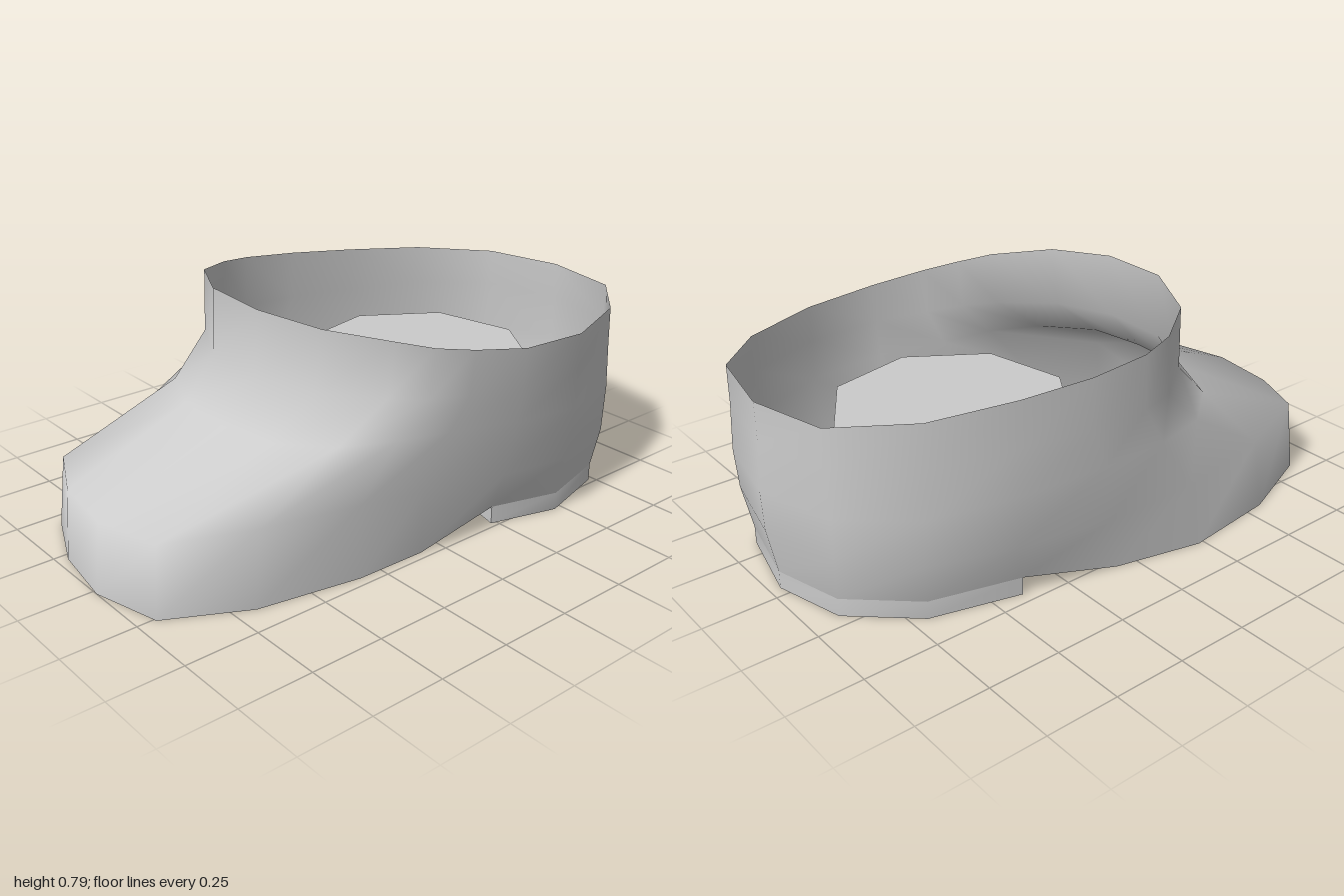
import * as THREE from 'three';

const smooth = new THREE.MeshStandardMaterial({ color: 0xcccccc, side: THREE.DoubleSide });
const flat = new THREE.MeshStandardMaterial({ color: 0xcccccc, side: THREE.DoubleSide, flatShading: true });

// Outlines run from the toe over the model's left (+x) side to the heel and back.
// Ground outline: [x, z]
const GROUND = [
  [0.02, 1.0], [0.26, 0.94], [0.40, 0.68], [0.465, 0.33], [0.47, 0.08], [0.48, -0.23],
  [0.55, -0.47], [0.48, -0.73], [0.32, -0.9], [0.04, -0.965], [-0.2, -0.9], [-0.38, -0.7],
  [-0.46, -0.4], [-0.53, -0.07], [-0.6, 0.23], [-0.56, 0.57], [-0.44, 0.87], [-0.22, 0.965],
];
// Top edge of the toe box: [x, y, z]
const TOE = [
  [0.02, 0.24, 0.975], [0.25, 0.24, 0.92], [0.395, 0.26, 0.66], [0.46, 0.25, 0.33], [0.475, 0.22, 0.08], [0.53, 0.2, -0.23],
  [0.575, 0.2, -0.48], [0.5, 0.2, -0.75], [0.33, 0.22, -0.93], [0.04, 0.22, -0.995], [-0.23, 0.22, -0.92], [-0.4, 0.2, -0.72],
  [-0.49, 0.2, -0.44], [-0.55, 0.2, -0.12], [-0.575, 0.22, 0.2], [-0.54, 0.25, 0.54], [-0.42, 0.25, 0.85], [-0.22, 0.24, 0.945],
];
// Instep, where the foot turns up into the ankle
const INSTEP = [
  [0.02, 0.42, 0.52], [0.22, 0.42, 0.49], [0.38, 0.42, 0.35], [0.46, 0.42, 0.18], [0.5, 0.41, 0.0], [0.57, 0.4, -0.23],
  [0.58, 0.38, -0.5], [0.5, 0.36, -0.76], [0.33, 0.36, -0.94], [0.04, 0.36, -1.0], [-0.23, 0.36, -0.92], [-0.41, 0.36, -0.71],
  [-0.5, 0.38, -0.43], [-0.55, 0.4, -0.15], [-0.56, 0.41, 0.08], [-0.53, 0.42, 0.26], [-0.4, 0.42, 0.42], [-0.2, 0.42, 0.51],
];
// Rim of the opening
const RIM = [
  [0.05, 0.78, 0.395], [0.27, 0.76, 0.32], [0.43, 0.73, 0.17], [0.5, 0.705, 0.07], [0.55, 0.685, -0.05], [0.595, 0.66, -0.23],
  [0.59, 0.645, -0.49], [0.49, 0.645, -0.76], [0.33, 0.65, -0.93], [0.05, 0.65, -0.985], [-0.22, 0.652, -0.92], [-0.4, 0.668, -0.7],
  [-0.49, 0.69, -0.43], [-0.54, 0.71, -0.2], [-0.55, 0.73, 0.0], [-0.52, 0.745, 0.12], [-0.42, 0.77, 0.27], [-0.2, 0.785, 0.385],
];
const STEP = 0.062;                 // rise of the arch in front of the heel
const HEEL_A = 5, HEEL_B = 12;      // heel columns of the outlines
const WELL = { r: 0.4, z: -0.325, top: 0.46, turn: THREE.MathUtils.degToRad(10.6) };

// Surface through stacked rows of points
function skin(name, rows, closed, material) {
  const n = rows[0].length, index = [];
  for (let r = 0; r < rows.length - 1; r++) {
    for (let i = 0; i < (closed ? n : n - 1); i++) {
      const j = (i + 1) % n, a = r * n + i, b = r * n + j;
      index.push(a, b, b + n, a, b + n, a + n);
    }
  }
  const g = new THREE.BufferGeometry();
  g.setAttribute('position', new THREE.Float32BufferAttribute(rows.flat(2), 3));
  g.setIndex(index);
  g.computeVertexNormals();
  const mesh = new THREE.Mesh(g, material);
  mesh.name = name;
  return mesh;
}

// Horizontal or gently tilted polygon, facing down
function plate(name, points) {
  const tris = THREE.ShapeUtils.triangulateShape(points.map(p => new THREE.Vector2(p[0], p[2])), []);
  const g = new THREE.BufferGeometry();
  g.setAttribute('position', new THREE.Float32BufferAttribute(points.flat(), 3));
  g.setIndex(tris.flat());
  g.computeVertexNormals();
  const mesh = new THREE.Mesh(g, flat);
  mesh.name = name;
  return mesh;
}

export function createModel() {
  const group = new THREE.Group();
  group.name = 'boot';
  const inHeel = i => i >= HEEL_A && i <= HEEL_B;
  const ground = (i, y = 0) => [GROUND[i][0], y, GROUND[i][1]];
  const wellPoint = (k, y = 0) => {
    const t = WELL.turn + k * Math.PI / 4;
    return [WELL.r * Math.cos(t), y, WELL.z + WELL.r * Math.sin(t)];
  };
  const range = (a, b, f) => Array.from({ length: b - a + 1 }, (_, i) => f(a + i));

  // Upper: foot and ankle wall, smooth
  const base = GROUND.map((_, i) => ground(i, inHeel(i) ? STEP : 0));
  const ankle = RIM.map(([x, y, z], i) => [
    x * 0.7 + INSTEP[i][0] * 0.3, 0.52 + (y - 0.645) * 0.3, z * 0.92 + INSTEP[i][2] * 0.08,
  ]);
  group.add(skin('upper', [base, TOE, INSTEP, ankle, RIM], true, smooth));

  // Heel: short band under the upper, and its underside
  group.add(skin('heelBand', [
    range(HEEL_A, HEEL_B, i => ground(i)),
    range(HEEL_A, HEEL_B, i => ground(i, STEP)),
  ], false, smooth));
  group.add(plate('heelUnderside', [
    ...range(HEEL_A, HEEL_B, i => ground(i)),
    ...range(4, 8, k => wellPoint(k)),
  ]));

  // Sole: flat front, with a rising arch on each side of the well
  group.add(plate('soleFront', [
    ...range(13, 22, i => ground(i % 18)),
    wellPoint(1), wellPoint(2), wellPoint(3),
  ]));
  group.add(plate('leftArch', [ground(4), ground(5, STEP), wellPoint(0, STEP), wellPoint(1)]));
  group.add(plate('rightArch', [ground(12, STEP), ground(13), wellPoint(3), wellPoint(4, STEP)]));

  // Front faces of the heel
  for (const [name, i, k] of [['leftHeelStep', 5, 0], ['rightHeelStep', 12, 4]]) {
    group.add(skin(name, [
      [ground(i), wellPoint(k)],
      [ground(i, STEP), wellPoint(k, STEP)],
    ], false, flat));
  }

  // Eight-sided well, open below and closed on top
  const ring = y => range(0, 7, k => wellPoint(k, y)).reverse();
  group.add(skin('wellWall', [ring(0), ring(WELL.top)], true, flat));
  group.add(plate('wellTop', ring(WELL.top)));
  return group;
}
